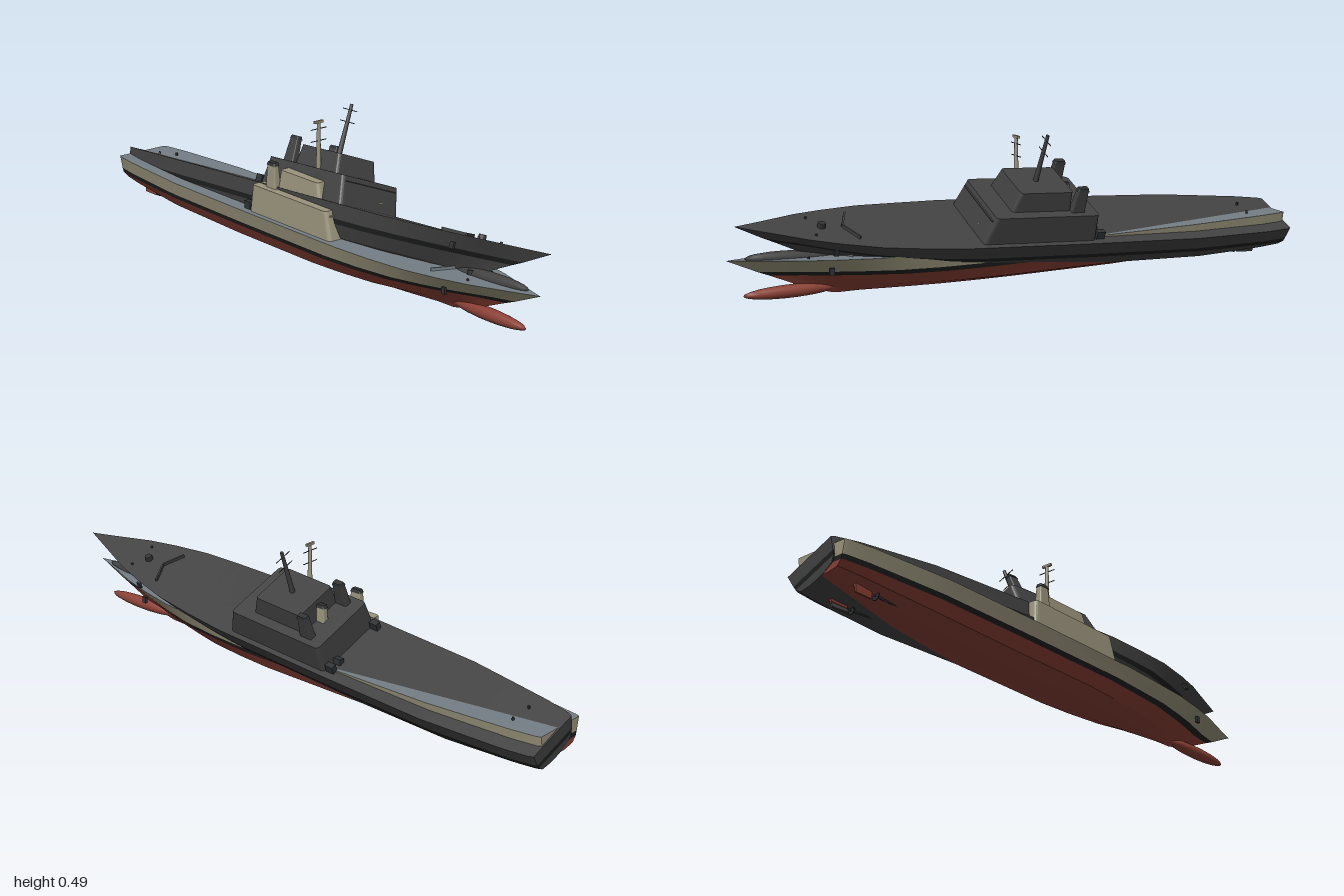
import * as THREE from 'three';

const mat = (name, color) => {
  const m = new THREE.MeshStandardMaterial({ color });
  m.name = name;
  return m;
};

// Hull rows from keel to deck centre: half width, height, bow z, bow height, stern height, bow fullness
const ROWS = [
  [0, 0, 0.64, 0.004, 0.035, 1],
  [0.045, 0, 0.66, 0.008, 0.036, 1.3],
  [0.105, 0.02, 0.75, 0.035, 0.044, 1.5],
  [0.128, 0.06, 0.86, 0.082, 0.062, 1.3],
  [0.134, 0.076, 0.9, 0.098, 0.078, 1.2],
  [0.147, 0.125, 1, 0.143, 0.123, 1],
  [0, 0.125, 1, 0.143, 0.123, 1],
];
// Stations along the hull: position, plan width factor
const STATIONS = [
  [-1, 0.66], [-0.985, 0.7], [-0.9, 0.79], [-0.75, 0.88], [-0.6, 0.966], [-0.2, 1], [0.25, 1],
  [0.4, 0.94], [0.55, 0.85], [0.68, 0.68], [0.78, 0.51], [0.9, 0.23], [1, 0],
];

function hullPoint(row, station, side) {
  const [w, y, bowZ, bowY, sternY, full] = ROWS[row];
  const [s, f] = STATIONS[station];
  const z = -1 + ((s + 1) / 2) * (bowZ + 1);
  const width = w * (s > 0.25 ? Math.pow(f, full) : f);
  const toBow = Math.pow(Math.max(0, (s - 0.35) / 0.65), 1.6);
  const toStern = Math.pow(Math.max(0, (-s - 0.4) / 0.6), 1.3);
  return [side * width, y + (bowY - y) * toBow + (sternY - y) * toStern, z];
}

// One longitudinal band of the hull, both sides plus its share of the transom
function hullBand(from, to) {
  const pos = [], index = [];
  const n = STATIONS.length;
  for (let r = from; r < to; r++) {
    for (const side of [1, -1]) {
      const base = pos.length / 3;
      for (let i = 0; i < n; i++) pos.push(...hullPoint(r, i, side), ...hullPoint(r + 1, i, side));
      for (let i = 0; i < n - 1; i++) {
        const a = base + 2 * i, b = a + 1, c = a + 2, d = a + 3;
        if (side > 0) index.push(a, b, c, b, d, c);
        else index.push(a, c, b, b, c, d);
      }
    }
    if (r < 5) {
      const base = pos.length / 3;
      for (const k of [r, r + 1]) pos.push(...hullPoint(k, 0, 1), ...hullPoint(k, 0, -1));
      index.push(base, base + 1, base + 2, base + 1, base + 3, base + 2);
    }
  }
  const g = new THREE.BufferGeometry();
  g.setAttribute('position', new THREE.Float32BufferAttribute(pos, 3));
  g.setIndex(index);
  g.computeVertexNormals();
  return g;
}

// Rounded deckhouse tapering from the bottom rectangle to the top one
function deckhouse(bottom, top, y0, y1, r) {
  const [w, back, front] = bottom, [tw, tBack, tFront] = top;
  const s = new THREE.Shape();
  s.moveTo(-w + r, -front);
  s.lineTo(w - r, -front); s.quadraticCurveTo(w, -front, w, -front + r);
  s.lineTo(w, -back - r); s.quadraticCurveTo(w, -back, w - r, -back);
  s.lineTo(-w + r, -back); s.quadraticCurveTo(-w, -back, -w, -back - r);
  s.lineTo(-w, -front + r); s.quadraticCurveTo(-w, -front, -w + r, -front);
  const g = new THREE.ExtrudeGeometry(s, { depth: y1 - y0, bevelEnabled: false, curveSegments: 4 });
  g.rotateX(-Math.PI / 2).translate(0, y0, 0);
  const p = g.attributes.position;
  for (let i = 0; i < p.count; i++) {
    const t = (p.getY(i) - y0) / (y1 - y0);
    const k = (p.getZ(i) - back) / (front - back);
    const zTop = tBack + k * (tFront - tBack);
    p.setX(i, p.getX(i) * (1 + t * (tw / w - 1)));
    p.setZ(i, p.getZ(i) * (1 - t) + zTop * t);
  }
  g.computeVertexNormals();
  return g;
}

function makeShip(c, withRadar) {
  const ship = new THREE.Group();
  const add = (name, geo, m, x = 0, y = 0, z = 0) => {
    const mesh = new THREE.Mesh(geo, m);
    mesh.name = name;
    mesh.position.set(x, y, z);
    ship.add(mesh);
    return mesh;
  };
  const box = (w, h, d) => new THREE.BoxGeometry(w, h, d);
  const cyl = (a, b, h, n = 12) => new THREE.CylinderGeometry(a, b, h, n);

  // Hull
  add('underwaterHull', hullBand(0, 3), c.bottom);
  add('waterlineStripe', hullBand(3, 4), c.stripe);
  add('topsides', hullBand(4, 5), c.side);
  add('deck', hullBand(5, 6), c.deck);
  const bulb = add('bowBulb', new THREE.SphereGeometry(0.021, 16, 12), c.bottom, 0, 0.026, 0.79);
  bulb.scale.z = 7.5;

  // Deckhouses
  add('mainDeckhouse', deckhouse([0.129, -0.205, 0.21], [0.123, -0.195, 0.18], 0.115, 0.217, 0.016), c.side);
  add('bridge', deckhouse([0.088, -0.105, 0.11], [0.08, -0.1, 0.09], 0.217, 0.281, 0.014), c.side);
  add('frontLedge', box(0.22, 0.004, 0.012), c.side, 0, 0.2, 0.184);

  // Mast with cross bars
  add('mast', cyl(0.0055, 0.009, 0.17), c.side, 0, 0.362, 0);
  for (const y of [0.387, 0.427]) {
    add('mastCrossBar', cyl(0.0015, 0.0015, 0.064, 6), c.dark, 0, y, 0).rotation.z = Math.PI / 2;
  }
  if (withRadar) add('radarBar', box(0.036, 0.008, 0.008), c.side, 0, 0.45, 0);

  for (const s of [1, -1]) {
    // Funnels with dark caps
    add('funnel', deckhouse([0.014, -0.15, -0.1], [0.01, -0.145, -0.108], 0.21, 0.296, 0.006), c.side, s * 0.088);
    add('funnelCap', deckhouse([0.012, -0.147, -0.105], [0.009, -0.143, -0.11], 0.292, 0.303, 0.005), c.dark, s * 0.088);
    // Deck and hull fittings
    add('sternLocker', box(0.02, 0.028, 0.03), c.dark, s * 0.112, 0.137, -0.222);
    add('anchor', box(0.008, 0.022, 0.016), c.dark, s * 0.09, 0.094, 0.69);
    add('bollard', cyl(0.004, 0.004, 0.012, 8), c.dark, s * 0.05, 0.133, 0.75);
    add('aftBollard', cyl(0.004, 0.004, 0.012, 8), c.dark, s * 0.06, 0.128, -0.87);
    const wave = add('breakwater', box(0.078, 0.012, 0.006), c.deck, s * 0.036, 0.133, 0.628);
    wave.rotation.y = s * 0.45;
    // Steering and propulsion
    add('rudder', box(0.006, 0.04, 0.065), c.bottom, s * 0.05, 0.023, -0.875);
    const shaft = add('propellerShaft', cyl(0.004, 0.004, 0.16, 8), c.dark, s * 0.05, 0.02, -0.75);
    shaft.rotation.x = Math.PI / 2;
    for (let i = 0; i < 4; i++) {
      const blade = add('propellerBlade', box(0.03, 0.008, 0.003), c.dark, s * 0.05, 0.02, -0.825);
      blade.rotation.z = (i * Math.PI) / 4;
    }
  }
  add('capstan', cyl(0.012, 0.014, 0.018, 12), c.dark, 0, 0.138, 0.715);
  return ship;
}

export function createModel() {
  const model = new THREE.Group();
  const red = mat('bottomRed', 0x8a4035);
  const black = mat('stripeBlack', 0x1e1f1f);
  const beige = mat('hullBeige', 0x9a947c);
  const deckGrey = mat('deckBlueGrey', 0x747e85);
  const charcoal = mat('charcoal', 0x424242);
  const fitting = mat('fittingDark', 0x303234);

  // Painted ship, upright
  const painted = makeShip({ bottom: red, stripe: black, side: beige, deck: deckGrey, dark: fitting }, true);
  painted.name = 'paintedShip';
  painted.position.x = -0.029;

  // Charcoal ship, heeled over and trimmed bow up
  const dark = makeShip({ bottom: charcoal, stripe: black, side: charcoal, deck: charcoal, dark: fitting }, false);
  dark.name = 'heeledShip';
  dark.position.set(-0.03, 0.06, 0);
  dark.rotation.set(-0.065, 0, -0.379);

  model.add(painted, dark);
  return model;
}
